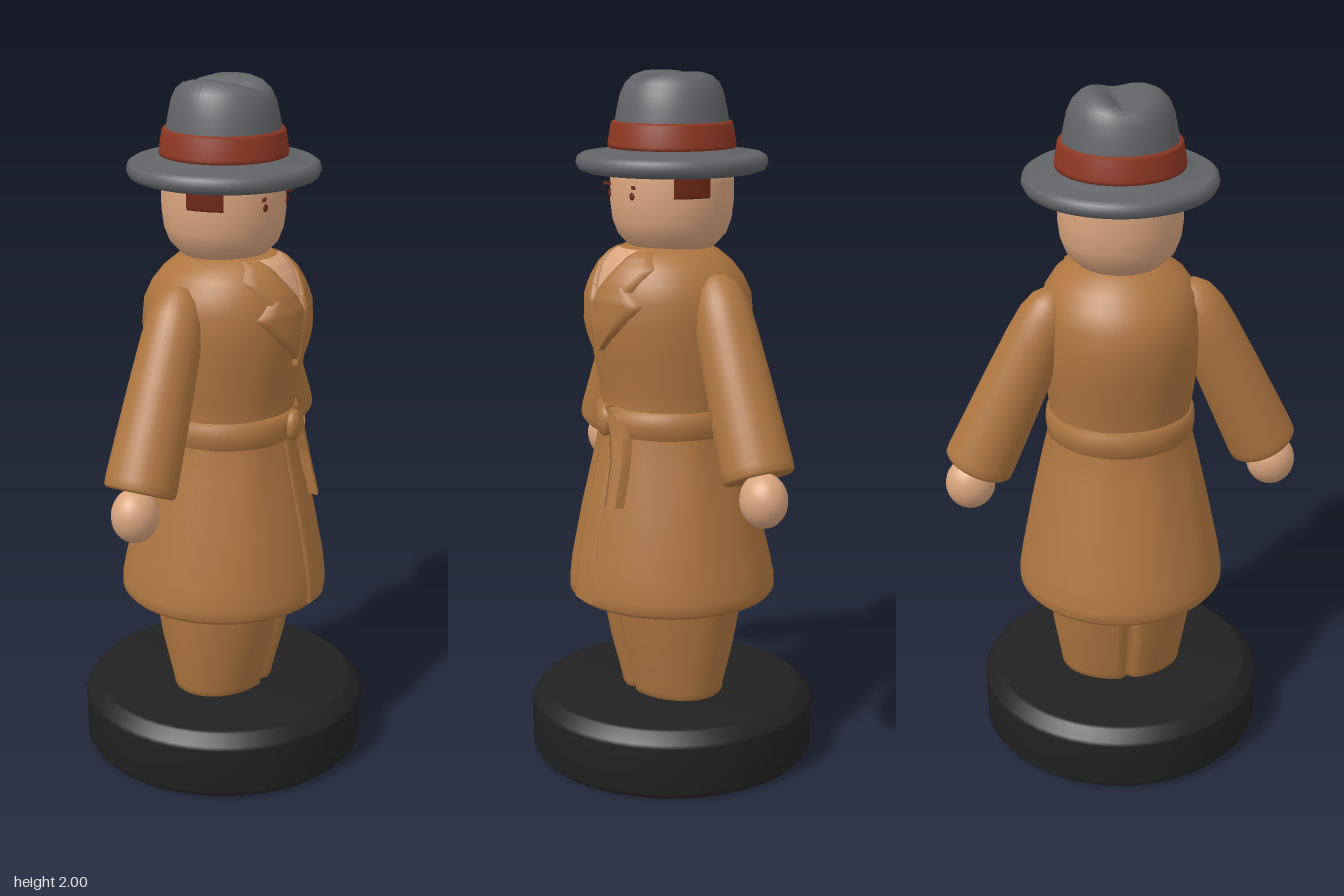
import * as THREE from 'three';

const mat = (name, color, side = THREE.FrontSide) => {
  const m = new THREE.MeshStandardMaterial({ color, side });
  m.name = name;
  return m;
};
const V = (x, y) => new THREE.Vector2(x, y);

// Coat cross-sections: y, centre x, half depth (x), half width (z)
const COAT = [
  [0.495, 0, 0.275, 0.275], [0.497, 0, 0.29, 0.292], [0.51, 0, 0.3, 0.302], [0.54, 0, 0.3, 0.302],
  [0.6, 0.003, 0.291, 0.292], [0.75, 0.008, 0.257, 0.262], [0.9, 0.009, 0.221, 0.228], [1.0, 0.01, 0.2, 0.205],
  [1.06, 0.006, 0.197, 0.203], [1.12, 0.003, 0.205, 0.21], [1.22, 0.003, 0.225, 0.222], [1.31, 0.003, 0.237, 0.228],
  [1.38, 0.006, 0.233, 0.225], [1.43, 0.01, 0.212, 0.212], [1.47, 0.015, 0.185, 0.185], [1.5, 0.02, 0.155, 0.145],
  [1.52, 0.02, 0.12, 0.11],
];

// Closed body through elliptical rings, with an optional radial rule
function loft(rings, radial = () => 1, n = 64) {
  const pos = [], idx = [];
  for (const [y, xc, rx, rz] of rings) for (let i = 0; i < n; i++) {
    const a = (i / n) * Math.PI * 2, k = radial(a, y);
    pos.push(xc + rx * k * Math.cos(a), y, rz * k * Math.sin(a));
  }
  for (let r = 0; r < rings.length - 1; r++) for (let i = 0; i < n; i++) {
    const a = r * n + i, b = r * n + (i + 1) % n;
    idx.push(a, a + n, b, b, a + n, b + n);
  }
  const top = (rings.length - 1) * n, c = pos.length / 3, last = rings[rings.length - 1];
  pos.push(rings[0][1], rings[0][0], 0, last[1], last[0], 0);
  for (let i = 0; i < n; i++) {
    const j = (i + 1) % n;
    idx.push(c, i, j, c + 1, top + j, top + i);
  }
  const g = new THREE.BufferGeometry();
  g.setAttribute('position', new THREE.Float32BufferAttribute(pos, 3));
  g.setIndex(idx);
  g.computeVertexNormals();
  return g;
}

// Front surface of the coat at a given height and sideways position
function coatFront(y, z) {
  let i = 0;
  while (i < COAT.length - 2 && COAT[i + 1][0] < y) i++;
  const t = (y - COAT[i][0]) / (COAT[i + 1][0] - COAT[i][0]);
  const [xc, rx, rz] = [1, 2, 3].map(k => COAT[i][k] + (COAT[i + 1][k] - COAT[i][k]) * t);
  return xc + rx * Math.sqrt(Math.max(0, 1 - (z / rz) ** 2));
}

// Cloth panel lying on the coat front; rows are [y, z start, z end]
function panel(rows, lift) {
  const pos = [], idx = [], across = [0, 0.03, 0.2, 0.4, 0.6, 0.8, 0.97, 1], steps = 6, w = across.length;
  let count = 0;
  rows.slice(0, -1).forEach((a, r) => {
    const b = rows[r + 1];
    for (let s = r ? 1 : 0; s <= steps; s++, count++) {
      const [y, z0, z1] = a.map((v, k) => v + (b[k] - v) * s / steps);
      across.forEach((u, k) => {
        const z = z0 + (z1 - z0) * u;
        pos.push(coatFront(y, z) + (k === 0 || k === w - 1 ? -0.005 : lift), y, z);
      });
    }
  });
  for (let r = 0; r < count - 1; r++) for (let k = 0; k < w - 1; k++) {
    const a = r * w + k;
    idx.push(a, a + w, a + 1, a + 1, a + w, a + w + 1);
  }
  const g = new THREE.BufferGeometry();
  g.setAttribute('position', new THREE.Float32BufferAttribute(pos, 3));
  g.setIndex(idx);
  g.computeVertexNormals();
  return g;
}

export function createModel() {
  const model = new THREE.Group();
  const tan = mat('tan cloth', 0xae7640);
  const tanPanel = mat('tan cloth panel', 0xae7640, THREE.DoubleSide);
  const skin = mat('skin', 0xd8a47e);
  const skinPanel = mat('skin panel', 0xd8a47e, THREE.DoubleSide);
  const grey = mat('grey felt', 0x626367);
  const red = mat('red band', 0x8e3722);
  const hairMat = mat('auburn hair', 0x6e2817, THREE.DoubleSide);
  const black = mat('black base', 0x212121);
  const add = (name, geo, m, parent = model) => {
    const mesh = new THREE.Mesh(geo, m);
    mesh.name = name;
    parent.add(mesh);
    return mesh;
  };
  const lathe = (pts, n = 48, a = 0, len = Math.PI * 2) =>
    new THREE.LatheGeometry(pts.map(p => V(...p)), n, a, len);

  // Round base with bevelled rims
  add('base', lathe([[0, 0], [0.39, 0], [0.4, 0.005], [0.416, 0.025], [0.418, 0.16], [0.412, 0.17],
    [0.385, 0.198], [0.375, 0.202], [0, 0.202]]), black);

  // Trousers with a groove between the legs, front and back
  const groove = a => 1 - 0.13 * Math.exp(-((Math.sin(a) / 0.07) ** 2));
  add('trousers', loft([[0.19, 0, 0.135, 0.178], [0.22, 0, 0.14, 0.182], [0.35, 0, 0.175, 0.205],
    [0.5, 0, 0.207, 0.217], [0.52, 0, 0.207, 0.217]], groove, 96), tan);

  // Coat with soft folds fading towards hem and chest
  const folds = (a, y) => 1 + 0.012 * Math.sin(a * 9 + 1) * Math.exp(-(((y - 0.9) / 0.13) ** 2));
  add('coat', loft(COAT, folds, 72), tan);

  // Open neck, lapels and overlapping front edge
  add('openNeck', panel([[1.515, -0.07, 0.07], [1.47, -0.045, 0.045], [1.4, -0.002, 0.002]], 0.006), skinPanel);
  for (const s of [1, -1]) {
    add('collar', panel([[1.515, 0.06 * s, 0.09 * s], [1.47, 0.045 * s, 0.14 * s], [1.41, 0.01 * s, 0.12 * s]], 0.014), tanPanel);
    add('lapel', panel([[1.42, 0.015 * s, 0.1 * s], [1.37, -0.005 * s, 0.15 * s], [1.3, -0.015 * s, 0.09 * s],
      [1.22, -0.02 * s, 0.0]], 0.016), tanPanel);
  }
  add('coatFrontEdge', panel([[1.0, -0.04, 0.03], [0.75, -0.05, 0.035], [0.51, -0.06, 0.04]], 0.005), tanPanel);

  // Belt, knot and hanging end
  add('belt', loft([[0.985, 0.008, 0.195, 0.198], [0.995, 0.008, 0.209, 0.212], [1.03, 0.007, 0.214, 0.216],
    [1.06, 0.006, 0.211, 0.213], [1.075, 0.005, 0.195, 0.198]]), tan);
  const knot = add('beltKnot', new THREE.SphereGeometry(0.04, 20, 14), tan);
  knot.scale.set(0.55, 1.1, 0.8);
  knot.position.set(0.222, 1.03, -0.005);
  add('beltEnd', panel([[1.075, -0.02, -0.04], [1.05, -0.02, -0.075], [1.0, -0.045, -0.098], [0.93, -0.066, -0.11],
    [0.8, -0.08, -0.118]], 0.026), tanPanel);

  // Arms with sleeves and rounded hands
  for (const s of [1, -1]) {
    const arm = new THREE.Group();
    arm.name = s > 0 ? 'armPositiveZ' : 'armNegativeZ';
    arm.position.set(-0.03, 0.922, 0.42 * s);
    arm.rotation.x = -0.43 * s;
    model.add(arm);
    add('sleeve', lathe([[0, 0.012], [0.08, 0.004], [0.093, 0], [0.1, 0.008], [0.101, 0.03], [0.098, 0.12], [0.092, 0.28],
      [0.085, 0.42], [0.078, 0.49], [0.062, 0.54], [0.035, 0.572], [0, 0.58]], 32), tan, arm);
    const hand = add('hand', new THREE.SphereGeometry(0.07, 24, 18), skin);
    hand.scale.set(0.93, 1.1, 1.02);
    hand.position.set(-0.03, 0.867, 0.443 * s);
  }

  // Head and neck
  add('head', lathe([[0, 1.47], [0.1, 1.47], [0.105, 1.505], [0.125, 1.52], [0.153, 1.55], [0.168, 1.59],
    [0.174, 1.64], [0.174, 1.7], [0.168, 1.76], [0, 1.77]]), skin);

  // Hair strip at the back with sideburns
  add('hairBack', lathe([[0.173, 1.7], [0.178, 1.705], [0.178, 1.75]], 40, 0.5, -Math.PI - 1), hairMat);
  for (const a of [-0.1, Math.PI - 0.5])
    add('sideburn', lathe([[0.173, 1.66], [0.179, 1.668], [0.179, 1.75]], 12, a, 0.6), hairMat);

  // Eyes and brows
  for (const s of [1, -1]) {
    const eye = add('eye', new THREE.SphereGeometry(0.012, 12, 8), hairMat);
    eye.scale.set(0.35, 0.9, 1);
    eye.position.set(0.163, 1.665, 0.062 * s);
    const brow = add('brow', new THREE.BoxGeometry(0.008, 0.008, 0.045), hairMat);
    brow.position.set(0.162, 1.69, 0.066 * s);
    brow.rotation.y = 0.38 * s;
  }

  // Hat: brim, band, and crown dented lengthwise
  const hat = new THREE.Group();
  hat.name = 'hat';
  model.add(hat);
  add('brim', lathe([[0, 1.725], [0.18, 1.722], [0.24, 1.722], [0.262, 1.73], [0.27, 1.747], [0.266, 1.765], [0.252, 1.774],
    [0.225, 1.772], [0.19, 1.782], [0.17, 1.795], [0, 1.8]], 64), grey, hat);
  add('hatBand', lathe([[0.165, 1.785], [0.179, 1.79], [0.18, 1.8], [0.171, 1.855], [0.166, 1.862], [0.15, 1.864]], 64), red, hat);
  const crown = lathe([[0.17, 1.79], [0.16, 1.86], [0.153, 1.9], [0.145, 1.94], [0.132, 1.972], [0.112, 1.993],
    [0.09, 2.003], [0.065, 2.006], [0.04, 2.006], [0.02, 2.006], [0, 2.006]], 64);
  const p = crown.attributes.position;
  for (let i = 0; i < p.count; i++) {
    const x = p.getX(i), y = p.getY(i), z = p.getZ(i);
    const up = THREE.MathUtils.smoothstep(y, 1.9, 2.0);
    const dent = 0.042 * Math.exp(-((z / 0.042) ** 2)) * (1 - 0.75 * THREE.MathUtils.smoothstep(Math.abs(x), 0.06, 0.13));
    p.setY(i, y - up * dent - 0.005 * up);
    p.setZ(i, z * (1 - 0.08 * up * THREE.MathUtils.smoothstep(x, 0, 0.12)));
  }
  crown.computeVertexNormals();
  add('crown', crown, grey, hat);

  return model;
}
